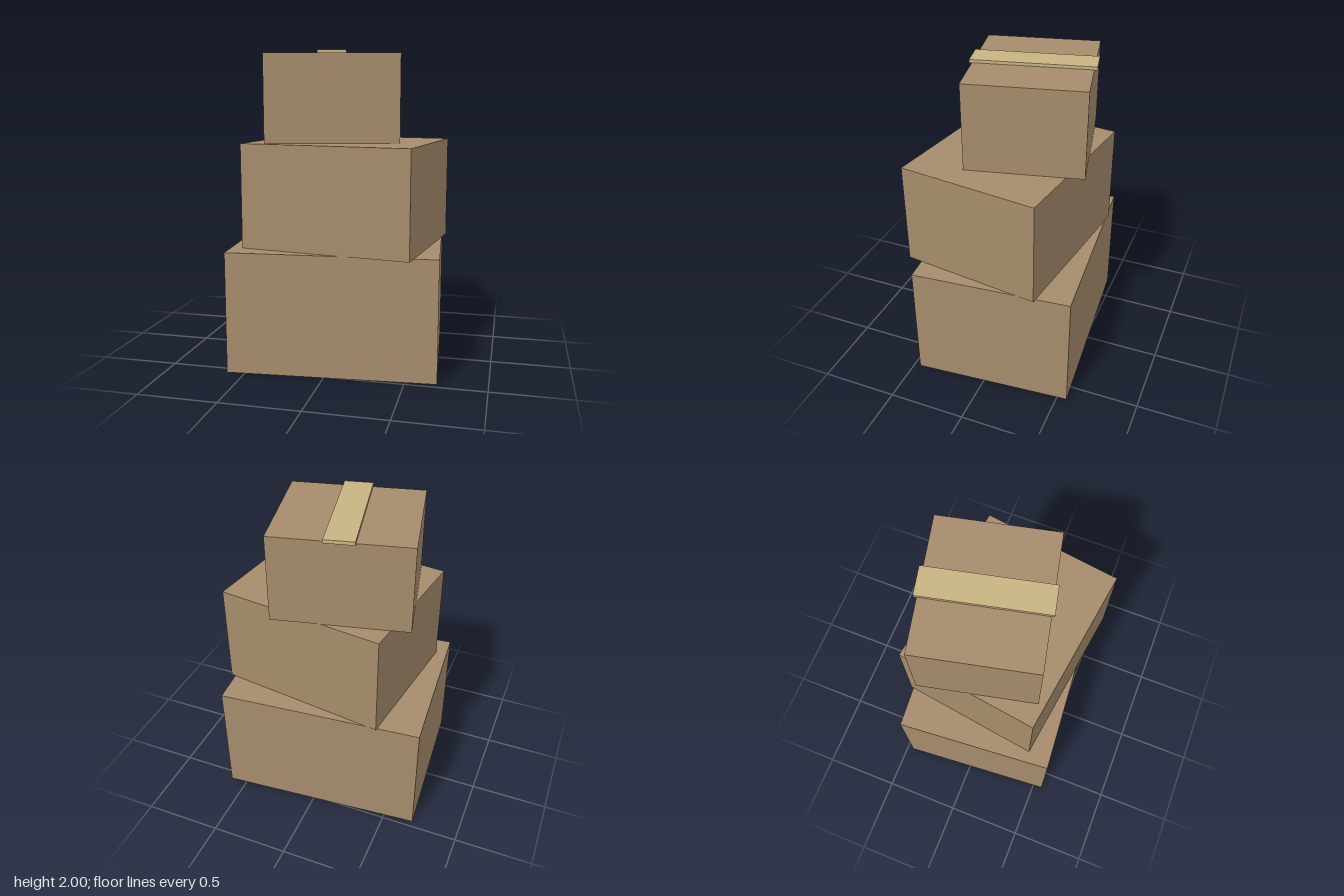
import * as THREE from 'three';

export function createModel() {
  const group = new THREE.Group();
  group.name = 'boxStack';

  const cardboard = new THREE.MeshStandardMaterial({ color: 0xa68c6c });
  cardboard.name = 'cardboard';
  const tapeColor = new THREE.MeshStandardMaterial({ color: 0xc8b482 });
  tapeColor.name = 'packingTape';

  // Adds a box standing on height y, turned by angle about its vertical axis
  function addBox(name, material, [w, h, d], [x, y, z], angle) {
    const mesh = new THREE.Mesh(new THREE.BoxGeometry(w, h, d), material);
    mesh.name = name;
    mesh.position.set(x, y + h / 2, z);
    mesh.rotation.y = angle;
    group.add(mesh);
  }

  // Three cartons, each turned a little differently
  addBox('bottomBox', cardboard, [1.313, 0.772, 1.025], [0, 0, 0], 0.08);
  addBox('middleBox', cardboard, [1.094, 0.66, 0.914], [0.053, 0.772, 0.034], -0.139);
  addBox('topBox', cardboard, [0.839, 0.549, 0.731], [-0.075, 1.432, -0.058], 0.221);

  // Tape strip across the top carton, overhanging slightly at both ends
  addBox('tape', tapeColor, [0.18, 0.022, 0.766], [-0.075, 1.978, -0.059], 0.221);

  return group;
}
